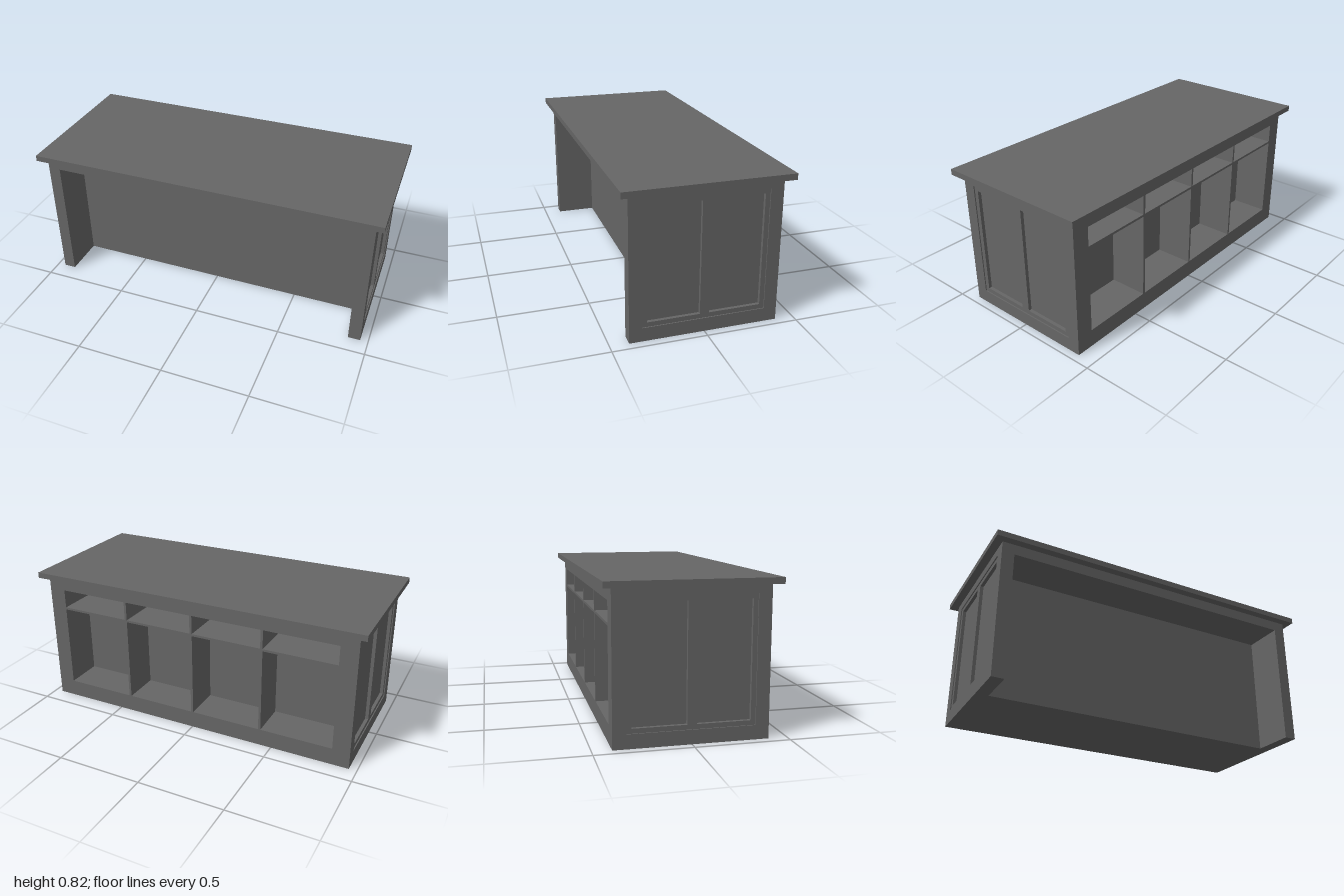
import * as THREE from 'three';

export function createModel() {
  const group = new THREE.Group();
  const paint = new THREE.MeshStandardMaterial({ color: 0x666666 });
  paint.name = 'greyPaint';

  const add = (name, geometry, parent = group) => {
    const mesh = new THREE.Mesh(geometry, paint);
    mesh.name = name;
    parent.add(mesh);
    return mesh;
  };

  // box from its min and max on each axis
  const box = (name, [x0, x1], [y0, y1], [z0, z1], parent) =>
    add(name, new THREE.BoxGeometry(x1 - x0, y1 - y0, z1 - z0), parent)
      .position.set((x0 + x1) / 2, (y0 + y1) / 2, (z0 + z1) / 2);

  const trace = (path, [x0, x1], [y0, y1]) =>
    path.moveTo(x0, y0).lineTo(x1, y0).lineTo(x1, y1).lineTo(x0, y1).closePath();

  // flat board with rectangular holes, running from z0 to z1
  const frame = (xs, ys, holes, z0, z1) => {
    const shape = trace(new THREE.Shape(), xs, ys);
    for (const [hx, hy] of holes) shape.holes.push(trace(new THREE.Path(), hx, hy));
    return new THREE.ExtrudeGeometry(shape, { depth: z1 - z0, bevelEnabled: false }).translate(0, 0, z0);
  };

  const H = 0.787, halfX = 0.955, halfZ = 0.4, inner = 0.885;
  const frontWall = 0.16, cubbyBack = -0.18;

  // worktop, core and the apron over the knee space
  box('worktop', [-1, 1], [H, 0.82], [-0.445, 0.445]);
  box('core', [-inner, inner], [0, H], [cubbyBack, frontWall]);
  box('apron', [-inner, inner], [0.727, H], [frontWall, halfZ]);

  // back frame with shelf and dividers making the open compartments
  const open = 0.855, bottom = 0.1, top = 0.715;
  add('backFrame', frame([-inner, inner], [0, H], [[[-open, open], [bottom, top]]], -halfZ, cubbyBack));
  box('shelf', [-open, open], [0.592, 0.605], [-halfZ, cubbyBack]);
  for (let i = -1; i <= 1; i++) {
    const x = (i * open) / 2;
    box('divider', [x - 0.007, x + 0.007], [bottom, top], [-halfZ, cubbyBack]);
  }

  // end walls: stepped recess outside, two deeper panels within it
  const width = [-halfZ, halfZ], height = [0, H];
  const panels = [[[-0.305, -0.025], [bottom, top]], [[0.025, 0.305], [bottom, top]]];
  for (const side of [1, -1]) {
    const end = new THREE.Group();
    end.name = side > 0 ? 'leftEnd' : 'rightEnd';
    end.rotation.y = (side * Math.PI) / 2;
    box('endWall', width, height, [inner, 0.93], end);
    add('panelFrame', frame(width, height, panels, 0.93, 0.949), end);
    add('outerFrame', frame(width, height, [[[-0.33, 0.33], [0.075, 0.74]]], 0.949, halfX), end);
    group.add(end);
  }

  return group;
}
